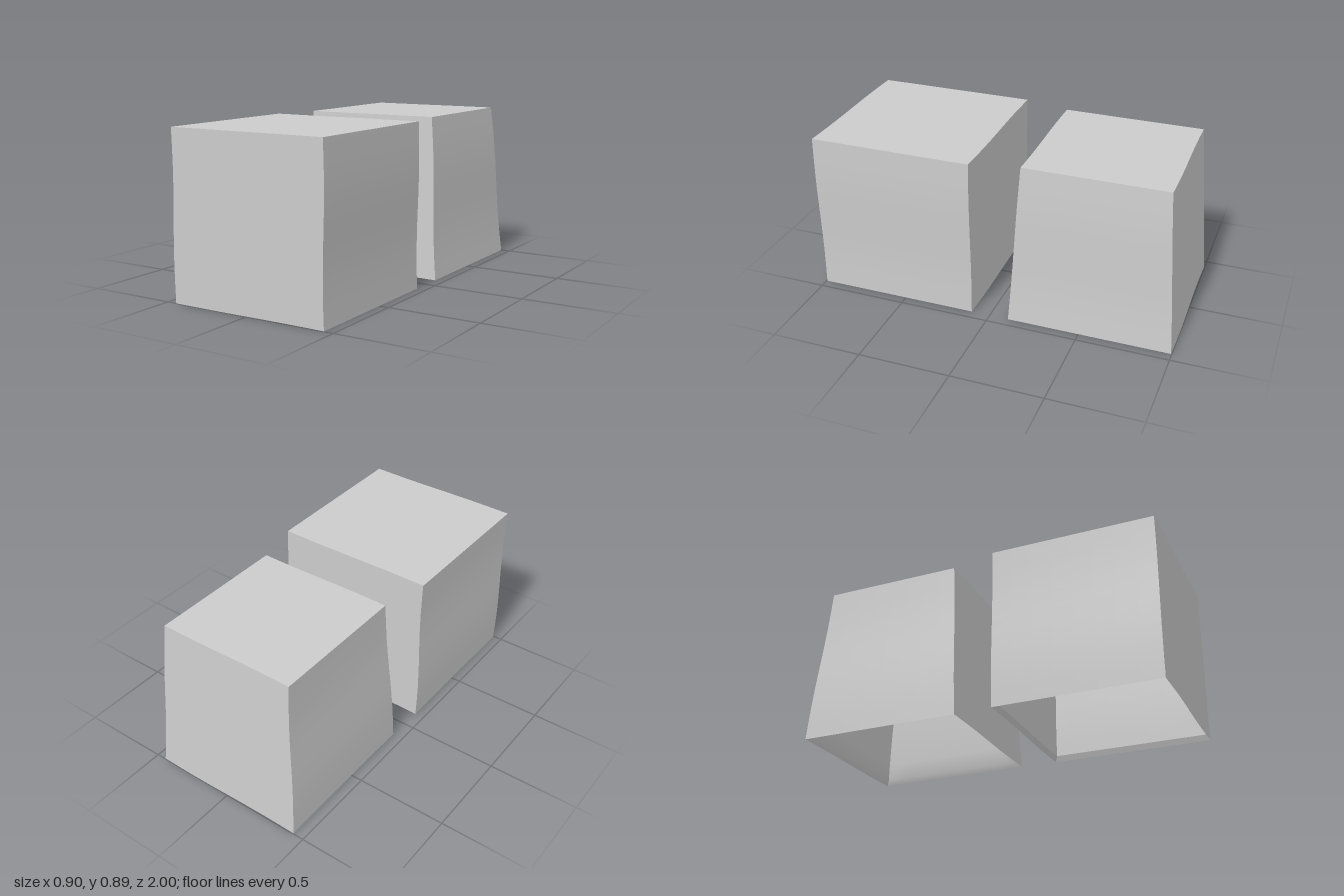
import * as THREE from 'three';
import { toCreasedNormals } from 'three/addons/utils/BufferGeometryUtils.js';

const H = 0.892;          // height of each box
const SEG = 8;            // segments along each side
const ROWS = 9;           // rows up each wall
const INSET = 0.013;      // wall thickness
const BEVEL = 0.03;       // height of the bevelled lower rim

// Slight hand-made waviness of the walls
function warp(x, y, z) {
  return [
    x - 0.005 * Math.sin((2 * Math.PI * y) / H),
    y,
    z - 0.003 * Math.sin((2 * Math.PI * x) / 0.89),
  ];
}

// Hollow box, open below. bottom and top give centre and half sizes: { x, z, hx, hz }
function hollowBox(bottom, top) {
  const rings = [{ y: H, cap: true }];                       // lid centre
  for (let i = ROWS; i >= 0; i--) rings.push({ y: (H * i) / ROWS, inset: 0 });
  for (let i = 0; i <= ROWS; i++) {                          // bevelled rim, then inner walls
    rings.push({ y: BEVEL + ((H - INSET - BEVEL) * i) / ROWS, inset: INSET });
  }
  rings.push({ y: H - INSET, cap: true });                   // ceiling centre

  const corners = [[1, 1], [1, -1], [-1, -1], [-1, 1]];
  const n = 4 * SEG;
  const positions = [];
  for (const { y, inset = 0, cap } of rings) {
    const t = y / H;
    const mix = (key) => THREE.MathUtils.lerp(bottom[key], top[key], t);
    for (let j = 0; j < n; j++) {
      const side = Math.floor(j / SEG);
      const f = (j % SEG) / SEG;
      const a = corners[side];
      const b = corners[(side + 1) % 4];
      const u = cap ? 0 : a[0] + (b[0] - a[0]) * f;
      const v = cap ? 0 : a[1] + (b[1] - a[1]) * f;
      positions.push(...warp(mix('x') + u * (mix('hx') - inset), y, mix('z') + v * (mix('hz') - inset)));
    }
  }

  const index = [];
  for (let i = 0; i < rings.length - 1; i++) {
    for (let j = 0; j < n; j++) {
      const k = (j + 1) % n;
      const a = i * n + j, d = i * n + k, b = a + n, c = d + n;
      if (!rings[i].cap) index.push(a, b, d);
      if (!rings[i + 1].cap) index.push(b, c, d);
    }
  }
  const geometry = new THREE.BufferGeometry();
  geometry.setAttribute('position', new THREE.Float32BufferAttribute(positions, 3));
  geometry.setIndex(index);
  return toCreasedNormals(geometry, 0.4);
}

export function createModel() {
  const group = new THREE.Group();
  group.name = 'hollowBoxes';
  const material = new THREE.MeshStandardMaterial({ color: 0xcccccc, side: THREE.DoubleSide });
  const add = (name, bottom, top) => {
    const mesh = new THREE.Mesh(hollowBox(bottom, top), material);
    mesh.name = name;
    group.add(mesh);
  };

  // Straight box in front
  const straight = { x: 0, z: 0.551, hx: 0.447, hz: 0.446 };
  add('straightBox', straight, straight);

  // Box narrowing towards the top, behind
  add('taperedBox',
    { x: 0.005, z: -0.551, hx: 0.442, hz: 0.446 },
    { x: 0, z: -0.54, hx: 0.387, hz: 0.387 });

  return group;
}
